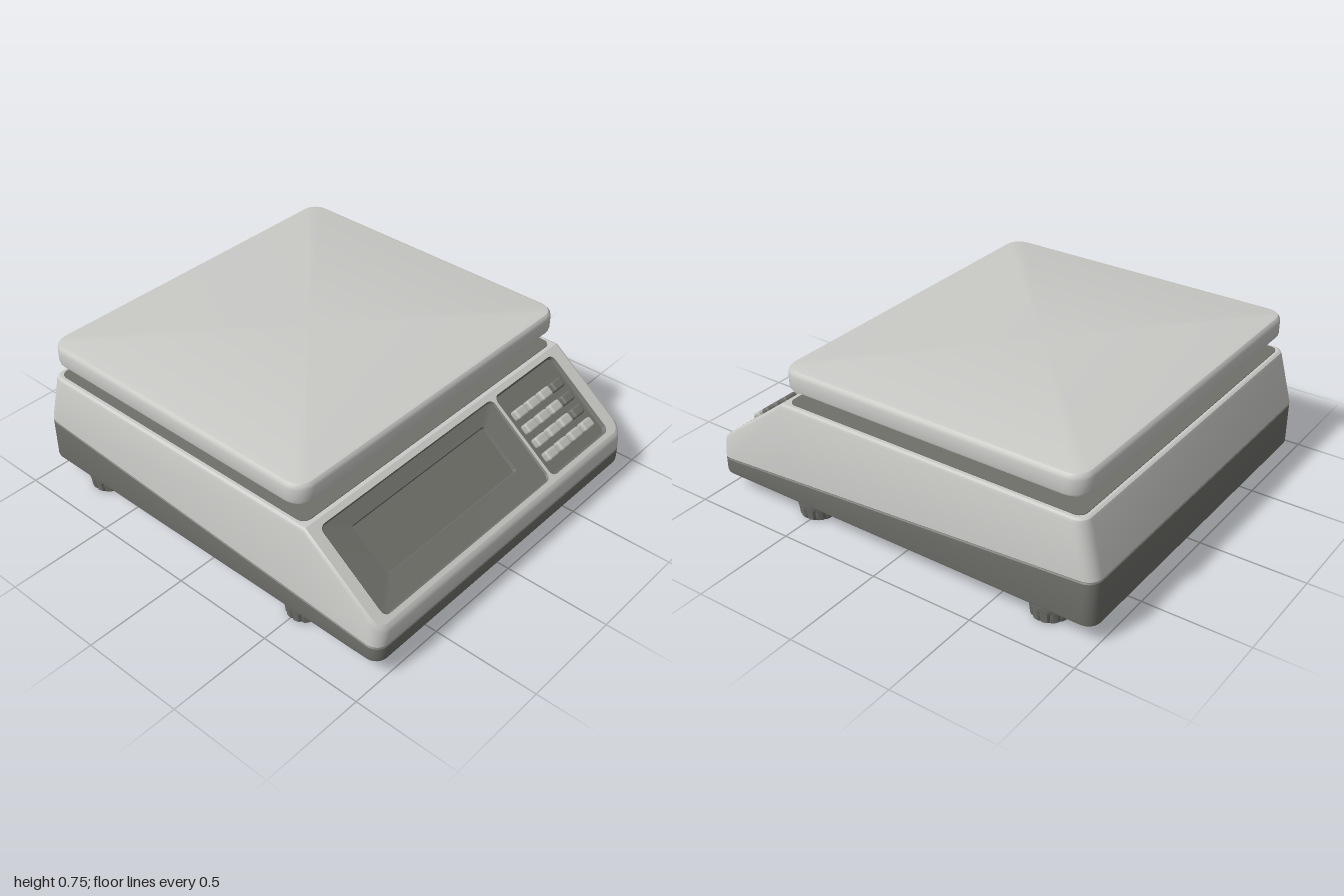
import * as THREE from 'three';
import { toCreasedNormals } from 'three/addons/utils/BufferGeometryUtils.js';
import { RoundedBoxGeometry } from 'three/addons/geometries/RoundedBoxGeometry.js';

const SEG = 6;            // segments per rounded corner
const TOP = 0.565;        // height of the flat deck
const FOLD = 0.6;         // z where the deck meets the sloped panel
const LIP = 0.26;         // height where the sloped panel starts at z = 1

// Rounded rectangle as [u, v] points; mid adds a point on both long sides
function roundRect(u0, u1, v0, v1, r, mid) {
  const pts = [];
  const corners = [[u1 - r, v1 - r], [u0 + r, v1 - r], [u0 + r, v0 + r], [u1 - r, v0 + r]];
  corners.forEach(([cu, cv], c) => {
    for (let i = 0; i <= SEG; i++) {
      const a = (c + i / SEG) * Math.PI / 2;
      pts.push([cu + r * Math.cos(a), cv + r * Math.sin(a)]);
    }
    if (mid !== undefined && c === 1) pts.push([u0, mid]);
    if (mid !== undefined && c === 3) pts.push([u1, mid]);
  });
  return pts;
}

// Skin closed rings of [x, y, z] points, with optional flat caps
function loft(rings, capFirst, capLast, crease = 0.6) {
  const n = rings[0].length, pos = rings.flat(2), idx = [];
  for (let k = 0; k < rings.length - 1; k++) {
    for (let i = 0; i < n; i++) {
      const j = (i + 1) % n, a = k * n + i, b = k * n + j;
      idx.push(a, a + n, b, b, a + n, b + n);
    }
  }
  const cap = (k, flip) => {
    const c = pos.length / 3;
    for (let d = 0; d < 3; d++) pos.push(rings[k].reduce((s, p) => s + p[d], 0) / n);
    for (let i = 0; i < n; i++) {
      const a = k * n + i, b = k * n + (i + 1) % n;
      idx.push(c, flip ? b : a, flip ? a : b);
    }
  };
  if (capFirst) cap(0, false);
  if (capLast) cap(rings.length - 1, true);
  const g = new THREE.BufferGeometry();
  g.setAttribute('position', new THREE.Float32BufferAttribute(pos, 3));
  g.setIndex(idx);
  return toCreasedNormals(g, crease);
}

// Horizontal ring; y is a number or a function of z
const level = (pts, y) => pts.map(([x, z]) => [x, typeof y === 'function' ? y(z) : y, z]);
const mat = (name, color) => new THREE.MeshStandardMaterial({ name, color });

export function createModel() {
  const model = new THREE.Group();
  const light = mat('light grey', 0xcacac7);
  const dark = mat('dark grey', 0x70706b);
  const keyLight = mat('key grey', 0xb9b9b5);

  const add = (name, geo, material, parent = model) => {
    const m = new THREE.Mesh(geo, material);
    m.name = name;
    parent.add(m);
    return m;
  };

  // Lower base, with a split line rising to the back
  const split = z => 0.17 + (1 - z) * 0.0675;
  const plan = (inset, zBack = -1, hx = 0.875) =>
    roundRect(-hx + inset, hx - inset, zBack + inset, 1 - inset, 0.06 - inset, FOLD);
  add('lowerBase', loft([
    level(plan(0.012), 0.093), level(plan(0.003), 0.097), level(plan(0), 0.108),
    level(plan(0), z => split(z) - 0.006), level(plan(0.006), split),
  ], true, true), dark);

  // Upper housing: walls tapering inward, rounded along the upper edge
  const deckY = z => Math.min(TOP, LIP + (1 - z) * (TOP - LIP) / (1 - FOLD));
  const rim = plan(0.016, -0.94, 0.865);
  add('upperHousing', loft([
    level(plan(0.004), split),
    level(plan(0), z => split(z) + 0.005),
    level(plan(0, -0.94, 0.865), z => deckY(z) - 0.02),
    level(plan(0.005, -0.94, 0.865), z => deckY(z) - 0.006),
    level(rim, deckY),
  ]), light);

  // Flat deck behind the fold
  add('deckEdge', loft([
    level(rim.slice(2 * SEG + 2), TOP - 0.004), level(rim.slice(2 * SEG + 2), TOP),
  ], false, true), light);
  add('deckCover', loft([
    level(roundRect(-0.835, 0.835, -0.912, 0.58, 0.04), TOP - 0.002),
    level(roundRect(-0.835, 0.835, -0.912, 0.58, 0.04), TOP + 0.003),
  ], false, true), dark);

  // Sloped panel: local x across, y up the slope, z out of it
  const panel = new THREE.Group();
  panel.name = 'controlPanel';
  panel.position.set(0, LIP, 1);
  panel.rotation.x = -Math.atan2(1 - FOLD, TOP - LIP);
  model.add(panel);
  const slope = Math.hypot(1 - FOLD, TOP - LIP) / (1 - FOLD);
  const toVec = pts => pts.map(([u, v]) => new THREE.Vector2(u, v));
  const front = [rim[rim.length - 1], ...rim.slice(0, 2 * SEG + 3)];
  const face = new THREE.Shape(toVec(front.map(([x, z]) => [x, (1 - z) * slope])));
  const displayHole = (i = 0) => roundRect(-0.795 + i, 0.325 - i, 0.043 + i, 0.475 - i, 0.03 - i);
  const keypadHole = (i = 0) => roundRect(0.342 + i, 0.785 - i, 0.043 + i, 0.475 - i, 0.03 - i);
  face.holes.push(new THREE.Path(toVec(displayHole())), new THREE.Path(toVec(keypadHole())));
  add('panelFace', new THREE.ShapeGeometry(face), light, panel);

  // Recesses, from the floor up to the panel face
  const depth = (pts, d) => pts.map(([u, v]) => [u, v, -d]);
  const screen = i => roundRect(-0.655 + i, 0.215 - i, 0.16 + i, 0.402 - i, 0.012);
  add('displayRecess', loft([
    depth(screen(0.005), 0.038), depth(screen(0), 0.022),
    depth(displayHole(0.006), 0.008), depth(displayHole(), 0),
  ], true, false, 0.3), dark, panel);
  add('keypadRecess', loft([
    depth(keypadHole(0.008), 0.02), depth(keypadHole(), 0),
  ], true), dark, panel);

  // Keys: four rows of four, darker function keys in the right column
  const keyGeo = new RoundedBoxGeometry(0.075, 0.048, 0.042, 3, 0.012);
  for (let row = 0; row < 4; row++) {
    for (let col = 0; col < 4; col++) {
      const key = add('key', keyGeo, col === 3 && row > 0 ? dark : keyLight, panel);
      key.position.set(0.412 + col * 0.093, 0.127 + row * 0.075, -0.002);
    }
  }

  // Tray support
  const neck = roundRect(-0.675, 0.675, -0.8, 0.47, 0.04);
  add('traySupport', loft([level(neck, TOP - 0.005), level(neck, 0.66)]), dark);

  // Weighing tray with softly rounded edges and a dark underside
  const tray = i => roundRect(-0.86 + i, 0.86 - i, -0.925 + i, 0.585 - i, 0.085 - i);
  add('tray', loft([
    level(tray(0.012), 0.65), level(tray(0.003), 0.654), level(tray(0), 0.665),
    level(tray(0), 0.722), level(tray(0.004), 0.736), level(tray(0.013), 0.746),
    level(tray(0.03), 0.75),
  ], false, true), light);
  add('trayUnderside', loft([level(tray(0.012), 0.65), level(tray(0.012), 0.655)], true), dark);

  // Fluted feet
  const footRing = (r, y, flute) => Array.from({ length: 48 }, (_, i) => {
    const a = i / 48 * Math.PI * 2;
    const rr = r - flute * Math.max(0, Math.cos(a * 12));
    return [rr * Math.cos(a), y, rr * Math.sin(a)];
  });
  const footGeo = loft([
    footRing(0.078, 0, 0.004), footRing(0.085, 0.006, 0.006), footRing(0.089, 0.045, 0.006),
    footRing(0.093, 0.062, 0), footRing(0.095, 0.084, 0),
  ], true, true);
  const stemGeo = new THREE.CylinderGeometry(0.05, 0.05, 0.03, 24);
  for (const x of [-0.765, 0.765]) {
    for (const z of [0.513, -0.735]) {
      add('foot', footGeo, dark).position.set(x, 0, z);
      add('footStem', stemGeo, dark).position.set(x, 0.09, z);
    }
  }
  return model;
}
